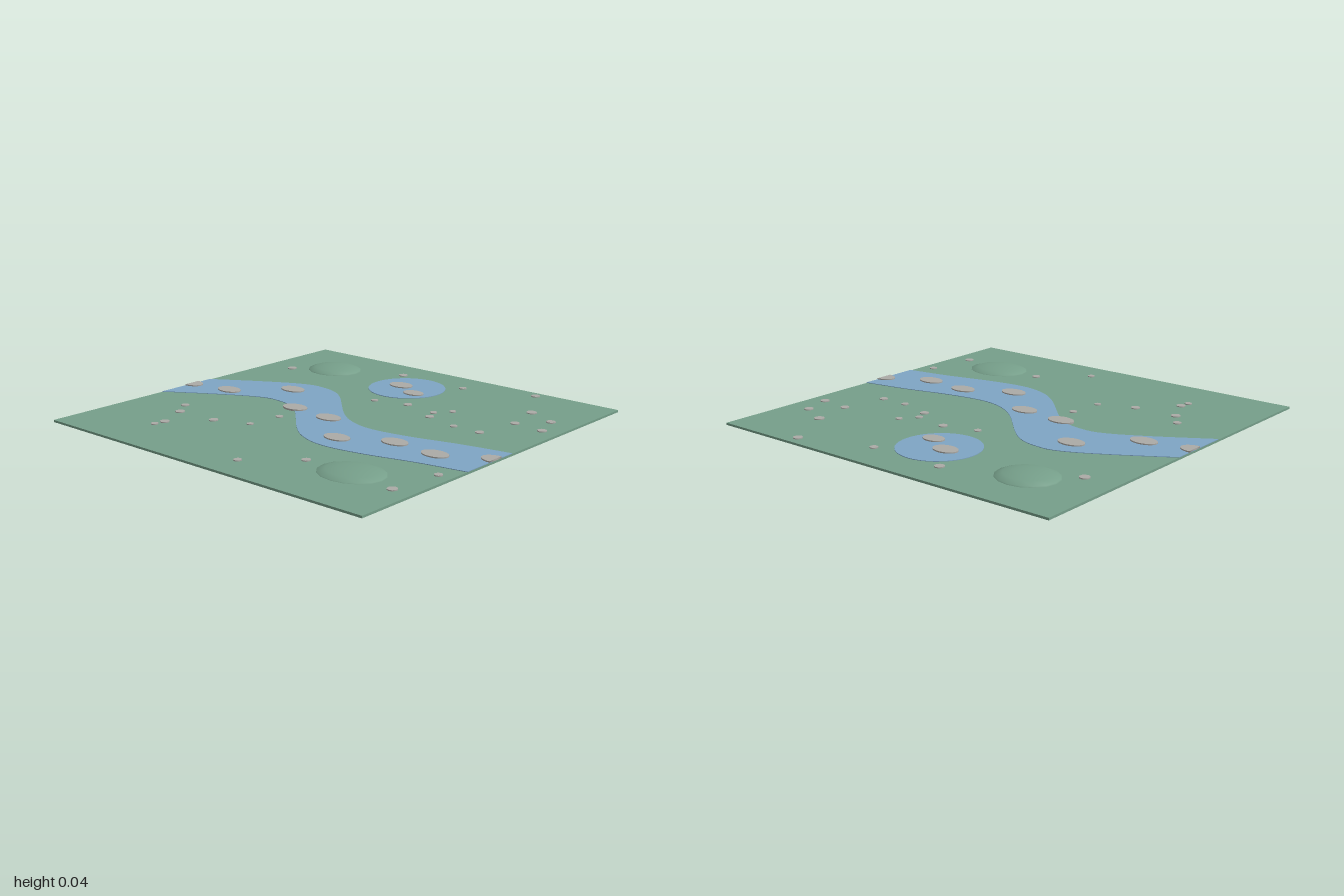
import * as THREE from 'three';

const GROUND = 0.011, WATER = 0.014;

function material(name, color) {
  const m = new THREE.MeshStandardMaterial({ color });
  m.name = name;
  return m;
}

export function createModel() {
  const model = new THREE.Group();
  model.name = 'meadowTile';
  const grass = material('grass green', 0x769f8a);
  const water = material('water blue', 0x7ea5c4);
  const rock = material('stone grey', 0xabaaa6);

  const add = (name, geometry, mat) => {
    const mesh = new THREE.Mesh(geometry, mat);
    mesh.name = name;
    model.add(mesh);
    return mesh;
  };

  // Ground slab
  add('ground', new THREE.BoxGeometry(2, GROUND, 2), grass).position.y = GROUND / 2;

  // Two low smooth mounds
  for (const [x, z, rx, ry, rz] of [
    [-0.63, -0.672, 0.165, 0.041, 0.148],
    [0.628, 0.632, 0.18, 0.037, 0.148],
  ]) {
    const dome = new THREE.SphereGeometry(1, 16, 4, 0, Math.PI * 2, 0, Math.PI / 2);
    dome.scale(rx, ry, rz);
    add('mound', dome, grass).position.set(x, 0, z);
  }

  // Winding river: a centre line offset to both banks
  const course = new THREE.SplineCurve([
    [-1, 0.125], [-0.75, -0.03], [-0.55, -0.135], [-0.42, -0.157], [-0.25, -0.1], [0, 0.14],
    [0.14, 0.23], [0.29, 0.26], [0.5, 0.232], [0.75, 0.17], [1, 0.125],
  ].map(([x, z]) => new THREE.Vector2(x, z))).getPoints(60);
  const bank = (side) => course.map((p) => new THREE.Vector2(p.x, -p.y + side * 0.172));
  const riverShape = new THREE.Shape([...bank(-1), ...bank(1).reverse()]);
  const riverGeometry = new THREE.ExtrudeGeometry(riverShape, { depth: WATER - GROUND, bevelEnabled: false });
  riverGeometry.rotateX(-Math.PI / 2);
  add('river', riverGeometry, water).position.y = GROUND;

  // Round pond
  add('pond', new THREE.CylinderGeometry(0.207, 0.207, WATER - GROUND, 40), water)
    .position.set(-0.065, (WATER + GROUND) / 2, -0.62);

  // Flat stones; those at the border are trimmed flush with the slab
  const addStone = (name, x, z, rx, rz, bottom, top, sides) => {
    const g = new THREE.CylinderGeometry(1, 1, top - bottom, sides);
    g.scale(rx, 1, rz);
    g.translate(x, (top + bottom) / 2, z);
    const p = g.attributes.position;
    for (let i = 0; i < p.count; i++) p.setX(i, THREE.MathUtils.clamp(p.getX(i), -1, 1));
    add(name, g, rock);
  };

  // Stepping stones along the river and in the pond
  for (const [x, z] of [
    [-1, 0.085], [-0.75, 0.043], [-0.5, -0.187], [-0.25, 0.06], [0, 0.085],
    [0.25, 0.303], [0.5, 0.18], [0.75, 0.2], [1, 0.085],
  ]) addStone('riverStone', x, z, 0.072, 0.048, GROUND, 0.02, 24);
  addStone('pondStone', -0.118, -0.636, 0.069, 0.048, GROUND, 0.02, 24);
  addStone('pondStone', 0.033, -0.552, 0.06, 0.042, GROUND, 0.02, 24);

  // Scattered pebbles: x, z, radius
  for (const [x, z, r] of [
    [0.545, -0.94, 0.024], [-0.25, -0.82, 0.025], [0.165, -0.815, 0.021], [-0.83, -0.53, 0.026],
    [0.7, -0.665, 0.027], [0.863, -0.587, 0.024], [0.743, -0.452, 0.023], [0.91, -0.434, 0.024],
    [0.392, -0.417, 0.018], [0.143, -0.367, 0.023], [-0.038, -0.318, 0.019], [0.33, -0.338, 0.019],
    [0.36, -0.268, 0.023], [0.547, -0.215, 0.019], [0.7, -0.215, 0.022], [-0.203, 0.224, 0.02],
    [-0.221, 0.41, 0.018], [-0.71, 0.394, 0.021], [-0.64, 0.491, 0.025], [-0.405, 0.481, 0.024],
    [-0.565, 0.658, 0.024], [-0.574, 0.715, 0.019], [0.364, 0.638, 0.022], [0.93, 0.411, 0.021],
    [0.895, 0.682, 0.025], [0.133, 0.839, 0.02],
  ]) addStone('pebble', x, z, r, r, GROUND - 0.002, 0.016, 10);

  return model;
}
